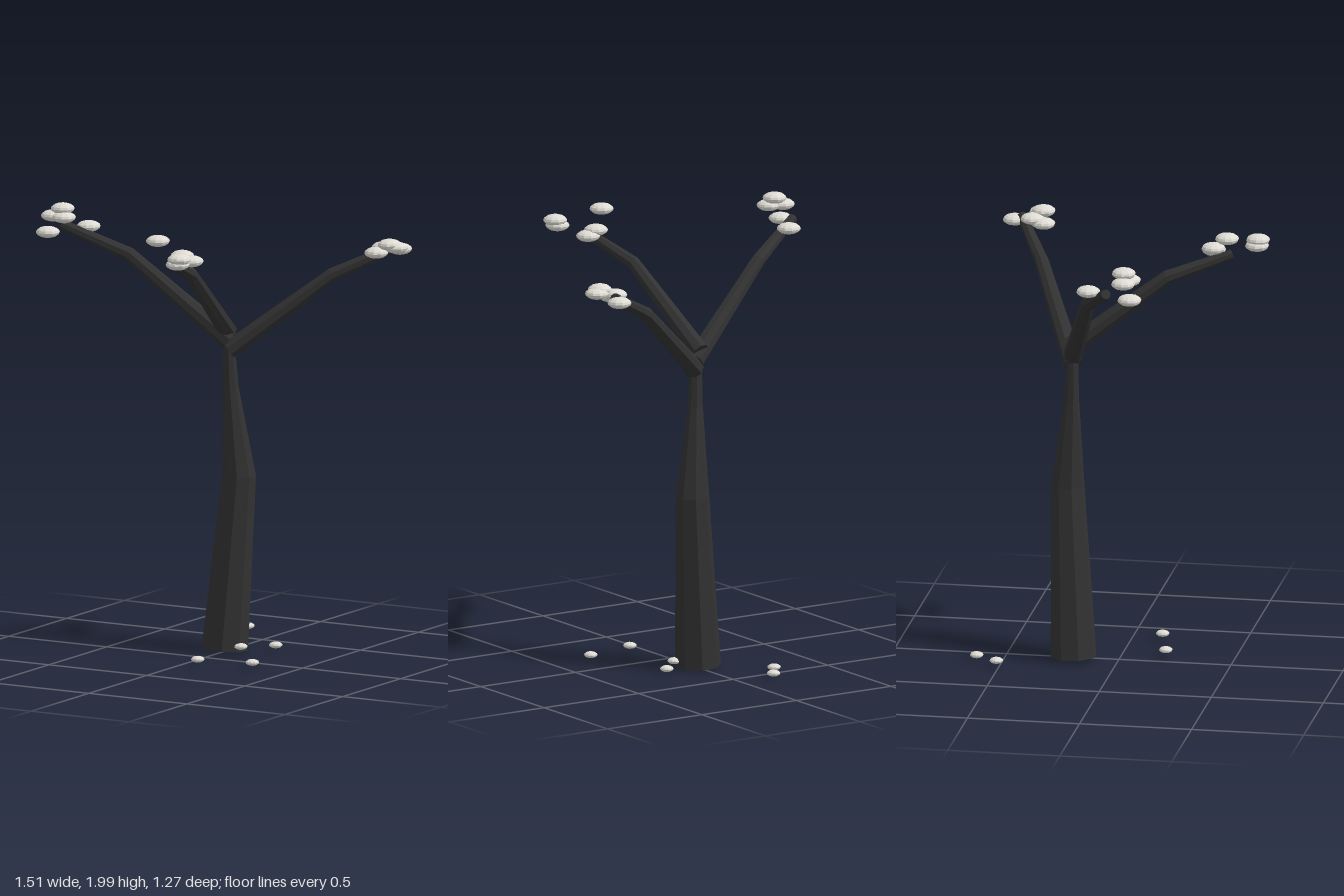
import * as THREE from 'three';

const SIDES = 8;

// Faceted limb swept through rows of [x, y, z, radius], capped at both ends
function limb(rows, ref) {
  const centres = rows.map(([x, y, z]) => new THREE.Vector3(x, y, z));
  const rings = rows.map((row, i) => {
    const t = new THREE.Vector3();
    if (i > 0) t.add(centres[i].clone().sub(centres[i - 1]).normalize());
    if (i < rows.length - 1) t.add(centres[i + 1].clone().sub(centres[i]).normalize());
    t.normalize();
    const u = new THREE.Vector3().crossVectors(ref, t).normalize();
    const v = new THREE.Vector3().crossVectors(t, u);
    return Array.from({ length: SIDES }, (_, j) => {
      const a = ((j + 0.5) / SIDES) * Math.PI * 2;
      return centres[i].clone()
        .addScaledVector(u, Math.cos(a) * row[3])
        .addScaledVector(v, Math.sin(a) * row[3]);
    });
  });
  const points = [];
  const last = rows.length - 1;
  for (let j = 0; j < SIDES; j++) {
    const k = (j + 1) % SIDES;
    for (let i = 0; i < last; i++) {
      const a = rings[i][j], b = rings[i][k], c = rings[i + 1][k], d = rings[i + 1][j];
      points.push(a, b, c, a, c, d);
    }
    points.push(centres[0], rings[0][k], rings[0][j]);
    points.push(centres[last], rings[last][j], rings[last][k]);
  }
  const geometry = new THREE.BufferGeometry().setFromPoints(points);
  geometry.computeVertexNormals();
  return geometry;
}

export function createModel() {
  const model = new THREE.Group();
  model.name = 'tree';
  const bark = new THREE.MeshStandardMaterial({ color: 0x323232, flatShading: true });
  bark.name = 'dark bark';
  const petal = new THREE.MeshStandardMaterial({ color: 0xdedcd4, flatShading: true });
  petal.name = 'pale blossom';

  const addMesh = (name, geometry, material, parent = model) => {
    const mesh = new THREE.Mesh(geometry, material);
    mesh.name = name;
    parent.add(mesh);
    return mesh;
  };

  // Leaning trunk, narrowing sharply above the middle
  addMesh('trunk', limb([
    [-0.015, 0.01, -0.2, 0.103],
    [0.037, 0.78, -0.235, 0.075],
    [0.008, 1.18, -0.213, 0.034],
    [0, 1.38, -0.208, 0.026],
  ], new THREE.Vector3(0, 0, 1)), bark);

  // Three bent branches
  const up = new THREE.Vector3(0, 1, 0);
  const branches = {
    rightBranch: [[0.005, 1.385, -0.205, 0.043], [-0.425, 1.755, -0.065, 0.031], [-0.695, 1.885, 0.065, 0.022]],
    leftBranch: [[0.005, 1.345, -0.205, 0.043], [0.405, 1.685, -0.415, 0.031], [0.66, 1.815, -0.55, 0.022]],
    frontBranch: [[-0.013, 1.425, -0.22, 0.043], [0.053, 1.75, 0.205, 0.031], [0.122, 1.85, 0.485, 0.022]],
  };
  for (const [name, rows] of Object.entries(branches)) addMesh(name, limb(rows, up), bark);

  // Flattened blossoms at the branch tips, and small ones on the ground
  const ball = new THREE.SphereGeometry(1, 10, 8);
  const clusters = {
    rightBlossoms: [[-0.61, 1.868, -0.03], [-0.7, 1.865, 0.17], [-0.692, 1.935, 0.14],
      [-0.627, 1.935, 0.155], [-0.645, 1.97, 0.135]],
    leftBlossoms: [[0.655, 1.798, -0.58], [0.62, 1.815, -0.495], [0.613, 1.798, -0.445],
      [0.7, 1.825, -0.47], [0.675, 1.838, -0.455]],
    frontBlossoms: [[0.042, 1.944, 0.475], [0.167, 1.852, 0.395], [0.122, 1.873, 0.4],
      [0.205, 1.87, 0.58], [0.215, 1.894, 0.583]],
    fallenBlossoms: [[-0.14, 0.033, -0.61], [-0.21, 0.033, -0.51], [0.2, 0.033, -0.275],
      [0.087, 0.033, -0.165], [0.325, 0.033, 0.138], [0.08, 0.033, 0.195]],
  };
  for (const [name, spots] of Object.entries(clusters)) {
    const cluster = new THREE.Group();
    cluster.name = name;
    model.add(cluster);
    const r = name === 'fallenBlossoms' ? 0.03 : 0.053;
    for (const spot of spots) {
      const blossom = addMesh('blossom', ball, petal, cluster);
      blossom.position.set(...spot);
      blossom.scale.set(r, r * 0.48, r);
    }
  }
  return model;
}
